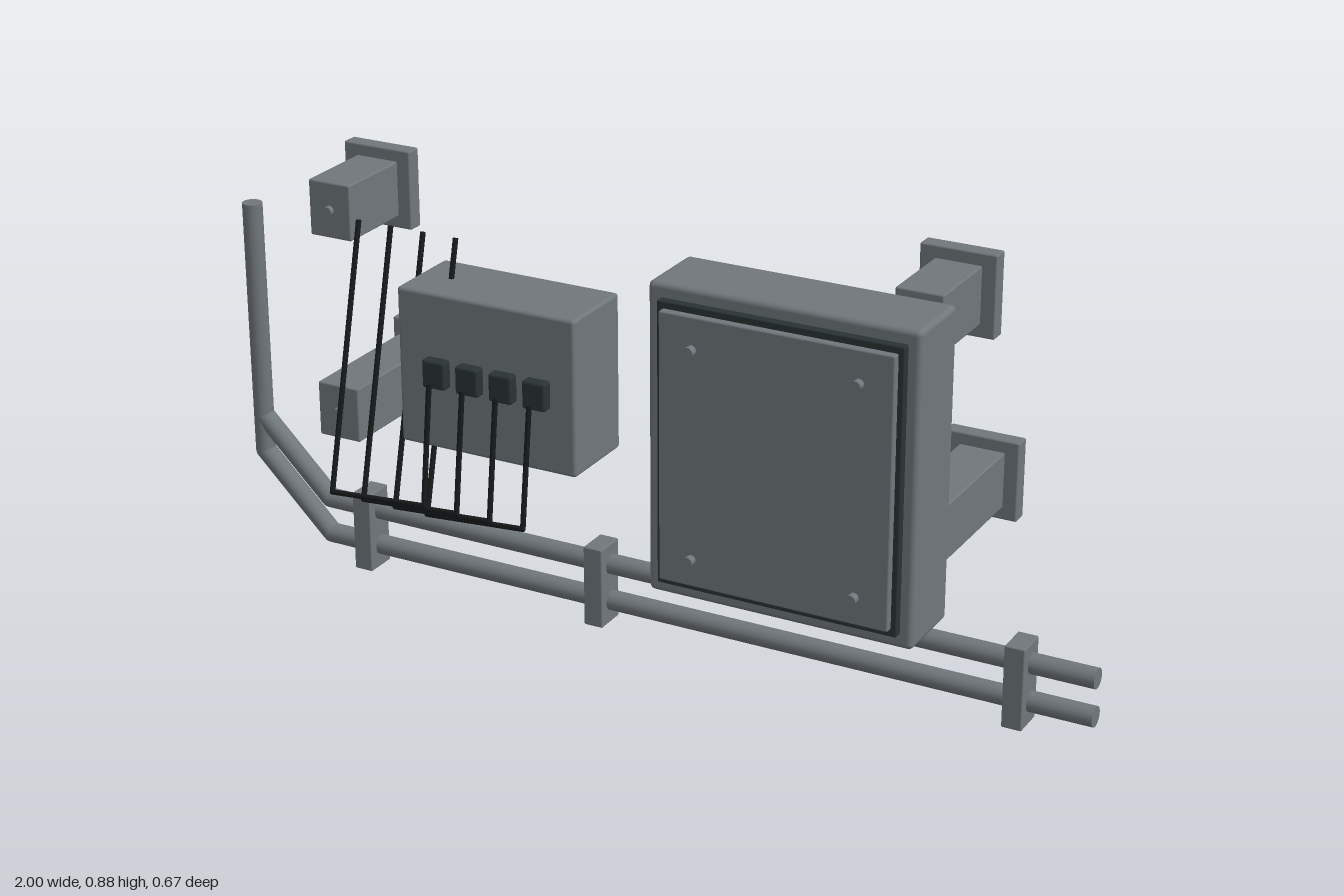
import * as THREE from 'three';
import { RoundedBoxGeometry } from 'three/addons/geometries/RoundedBoxGeometry.js';

export function createModel() {
  const model = new THREE.Group();
  model.name = 'wallElectricalSet';
  const mat = (name, color) => {
    const m = new THREE.MeshStandardMaterial({ color });
    m.name = name;
    return m;
  };
  const steel = mat('greySteel', 0x70777b);
  const rubber = mat('darkRubber', 0x2a3333);
  const black = mat('blackCable', 0x171b1c);

  const group = (name) => {
    const g = new THREE.Group();
    g.name = name;
    model.add(g);
    return g;
  };
  const add = (parent, name, geometry, material) => {
    const m = new THREE.Mesh(geometry, material);
    m.name = name;
    parent.add(m);
    return m;
  };
  // Box given by its limits on each axis, with softened edges
  const box = (parent, name, [x0, x1], [y0, y1], [z0, z1], material, radius = 0.004) => {
    const g = new RoundedBoxGeometry(x1 - x0, y1 - y0, z1 - z0, 3, radius);
    g.translate((x0 + x1) / 2, (y0 + y1) / 2, (z0 + z1) / 2);
    return add(parent, name, g, material);
  };
  // Round rod between two points
  const rod = (parent, name, a, b, radius, material, sides = 16) => {
    const from = new THREE.Vector3(...a), to = new THREE.Vector3(...b);
    const m = add(parent, name, new THREE.CylinderGeometry(radius, radius, from.distanceTo(to), sides), material);
    m.position.copy(from).lerp(to, 0.5);
    m.quaternion.setFromUnitVectors(new THREE.Vector3(0, 1, 0), to.sub(from).normalize());
    return m;
  };
  // Run of rods with round joints at the bends
  const run = (parent, name, points, radius, material, sides) => {
    for (let i = 1; i < points.length; i++) {
      rod(parent, name, points[i - 1], points[i], radius, material, sides);
      if (i < points.length - 1) {
        add(parent, name + 'Bend', new THREE.SphereGeometry(radius, sides, 8), material).position.set(...points[i]);
      }
    }
  };

  // Large cabinet with seal, door and four screws
  const cabinet = group('largeCabinet');
  box(cabinet, 'cabinetBody', [0.064, 0.656], [0.167, 0.845], [0.075, 0.244], steel, 0.012);
  box(cabinet, 'doorSeal', [0.094, 0.629], [0.199, 0.815], [0.235, 0.262], rubber, 0.003);
  box(cabinet, 'cabinetDoor', [0.106, 0.617], [0.215, 0.8], [0.255, 0.278], steel);
  for (const x of [0.18, 0.543]) {
    for (const y of [0.275, 0.73]) rod(cabinet, 'doorScrew', [x, y, 0.275], [x, y, 0.295], 0.011, steel);
  }

  // Small junction box with a row of plugs
  const junction = group('junctionBox');
  box(junction, 'junctionBody', [-0.519, -0.097], [0.387, 0.733], [0.073, 0.259], steel, 0.008);

  // Plugs and their cables, each hanging down, running sideways and rising
  const cables = group('cables');
  for (let i = 0; i < 4; i++) {
    const x = -0.422 + i * 0.08, rise = x - 0.262;
    box(junction, 'plug', [x - 0.027, x + 0.027], [0.53, 0.592], [0.25, 0.283], rubber, 0.006);
    run(cables, 'cable', [
      [x, 0.547, 0.298], [x, 0.285, 0.332], [rise, 0.243, 0.287], [rise, 0.815, 0.145],
    ], 0.006, black, 8);
  }

  // Square wall standoffs: short ones above, long ones below
  for (const x of [-0.806, 0.574]) {
    for (const [y, end] of [[0.794, -0.17], [0.325, -0.335]]) {
      const standoff = group('wallStandoff');
      box(standoff, 'standoffArm', [x - 0.052, x + 0.052], [y - 0.063, y + 0.063], [end, 0.075], steel);
      box(standoff, 'standoffFlange', [x - 0.084, x + 0.084], [y - 0.09, y + 0.09], [end + 0.02, end + 0.058], steel);
      rod(standoff, 'standoffScrew', [x, y, 0.07], [x, y, 0.087], 0.011, steel);
    }
  }

  // Two conduits that bend upward and meet in one riser
  const conduits = group('conduits');
  for (const y of [0.05, 0.135]) {
    run(conduits, 'conduit', [
      [1, y, 0.117], [-0.808, y, 0.117], [-0.978, y + 0.167, 0.117], [-0.978, 0.797, 0.117],
    ], 0.022, steel, 20);
  }

  // Clamps holding both conduits
  for (const x of [-0.7, -0.118, 0.839]) {
    box(conduits, 'conduitClamp', [x - 0.022, x + 0.022], [0, 0.182], [0.086, 0.159], steel, 0.003);
  }
  return model;
}
